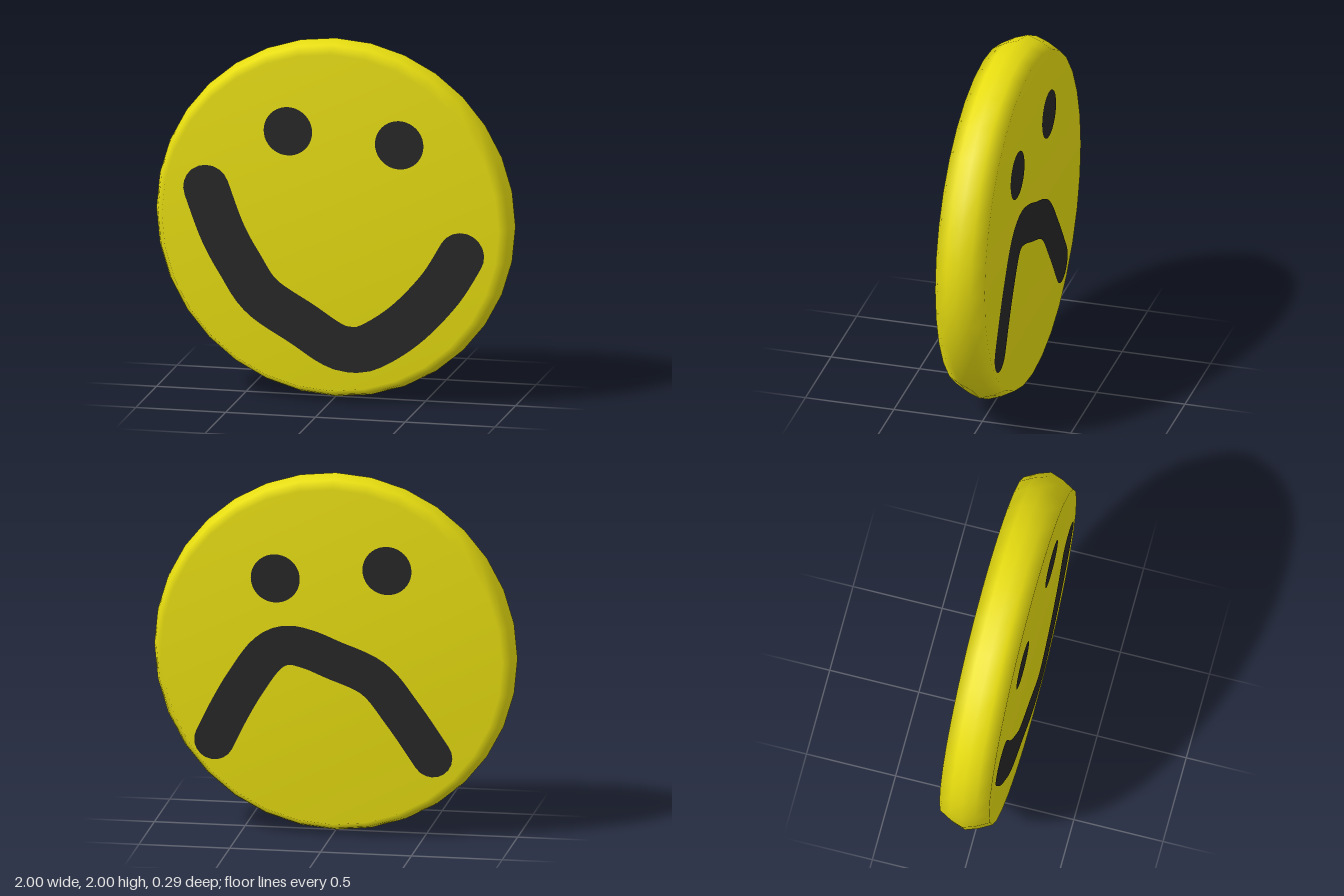
import * as THREE from 'three';

const HALF = 0.14; // half thickness of the disc

// Outline of a round-ended brush stroke along a smooth centre line
function strokeShape(centre, radius) {
  const curve = new THREE.SplineCurve(centre.map(([x, y]) => new THREE.Vector2(x, y)));
  const steps = 48, caps = 10;
  const left = [], right = [], startCap = [], endCap = [];
  for (let i = 0; i <= steps; i++) {
    const p = curve.getPointAt(i / steps), t = curve.getTangentAt(i / steps);
    const n = new THREE.Vector2(-t.y, t.x);
    left.push(p.clone().addScaledVector(n, radius));
    right.push(p.clone().addScaledVector(n, -radius));
    if (i === 0 || i === steps) {
      for (let j = 1; j < caps; j++) {
        const a = (j / caps) * Math.PI, side = i ? -1 : 1;
        const q = p.clone().addScaledVector(n, side * radius * Math.cos(a));
        q.addScaledVector(t, -side * radius * Math.sin(a));
        (i ? endCap : startCap).push(q);
      }
    }
  }
  return new THREE.Shape([...right, ...endCap, ...left.reverse(), ...startCap]);
}

// One painted face lying just above the disc, facing +z
function makeFace(name, eyes, mouth, mouthRadius, material) {
  const face = new THREE.Group();
  face.name = name;
  eyes.forEach(([x, y], i) => {
    const eye = new THREE.Mesh(new THREE.CircleGeometry(0.135, 40), material);
    eye.name = name + 'Eye' + (i + 1);
    eye.position.set(x, y, HALF + 0.004);
    face.add(eye);
  });
  const lips = new THREE.Mesh(new THREE.ShapeGeometry(strokeShape(mouth, mouthRadius)), material);
  lips.name = name + 'Mouth';
  lips.position.z = HALF + 0.004;
  face.add(lips);
  return face;
}

export function createModel() {
  const yellow = new THREE.MeshStandardMaterial({ color: 0xe6dc10 });
  yellow.name = 'yellow';
  const black = new THREE.MeshStandardMaterial({ color: 0x262626 });
  black.name = 'black';

  const model = new THREE.Group();
  model.name = 'twoFacedDisc';

  // Disc with a bulging rim, smooth all over
  const profile = [[0, -HALF], [0.938, -HALF], [0.976, -0.07], [1, 0], [0.976, 0.07], [0.938, HALF], [0, HALF]];
  const disc = new THREE.Mesh(
    new THREE.LatheGeometry(profile.map(([r, z]) => new THREE.Vector2(r, z)), 32), yellow);
  disc.name = 'disc';
  disc.rotation.x = Math.PI / 2;
  disc.position.y = 1;
  model.add(disc);

  // Smile on the front (heights relative to the disc centre)
  const smile = makeFace('smile', [[-0.235, 0.5], [0.385, 0.455]], [
    [-0.69, 0.16], [-0.6, -0.08], [-0.5, -0.26], [-0.38, -0.43], [-0.15, -0.575], [0, -0.67],
    [0.1, -0.7], [0.22, -0.68], [0.42, -0.545], [0.61, -0.34], [0.73, -0.145],
  ], 0.128, black);

  // Frown on the back
  const frown = makeFace('frown', [[-0.31, 0.43], [0.305, 0.498]], [
    [-0.647, -0.488], [-0.57, -0.33], [-0.48, -0.17], [-0.36, 0], [-0.25, 0.058], [-0.13, 0.04],
    [0, -0.01], [0.23, -0.11], [0.39, -0.3], [0.555, -0.538],
  ], 0.11, black);
  frown.rotation.y = Math.PI;

  for (const face of [smile, frown]) {
    face.position.y = 1;
    model.add(face);
  }
  return model;
}
